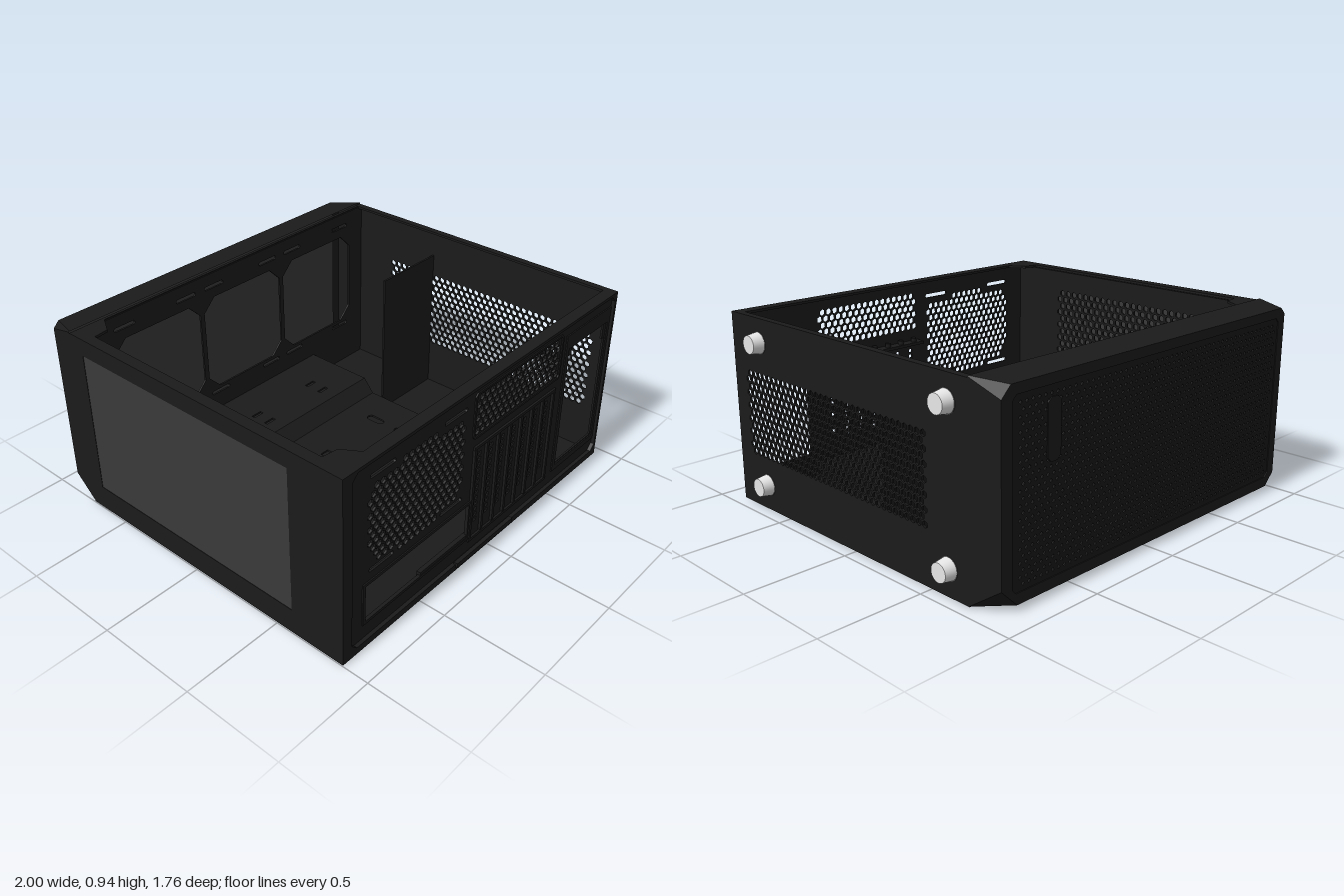
import * as THREE from 'three';

const mat = (name, color) => {
  const m = new THREE.MeshStandardMaterial({ color, side: THREE.DoubleSide });
  m.name = name;
  return m;
};

const pathOf = (pts, Type = THREE.Path) => new Type(pts.map(([x, y]) => new THREE.Vector2(x, y)));
const rectPts = (x0, x1, y0, y1) => [[x0, y0], [x1, y0], [x1, y1], [x0, y1]];

// Rectangle with cut corners, counter-clockwise from lower left; each corner may have its own cut
const octPts = (x0, x1, y0, y1, a, b = a, c = a, d = a) => [
  [x0 + a, y0], [x1 - b, y0], [x1, y0 + b], [x1, y1 - c],
  [x1 - c, y1], [x0 + d, y1], [x0, y1 - d], [x0, y0 + a],
];
const rectHole = (...r) => pathOf(rectPts(...r));
const octHole = (...r) => pathOf(octPts(...r));

// Staggered grid of small polygonal holes
function gridHoles(x0, x1, y0, y1, pitch, r, sides = 6, keep = () => true) {
  const holes = [];
  const rowStep = pitch * 0.866;
  for (let j = 0, y = y0 + r; y <= y1 - r; j++, y += rowStep) {
    for (let x = x0 + r + (j % 2 ? pitch / 2 : 0); x <= x1 - r; x += pitch) {
      if (!keep(x, y)) continue;
      const pts = [];
      for (let k = 0; k < sides; k++) {
        const a = (k / sides) * Math.PI * 2 + Math.PI / 2;
        pts.push([x + r * Math.cos(a), y + r * Math.sin(a)]);
      }
      holes.push(pathOf(pts));
    }
  }
  return holes;
}

export function createModel() {
  const model = new THREE.Group();
  model.name = 'computerCase';
  const body = mat('blackSteel', 0x1b1b1b);
  const filter = mat('filterGrey', 0x3a3a3a);
  const meshMat = mat('meshBlack', 0x171717);
  const rubber = mat('lightGreyFoot', 0xf0f0f0);
  const groove = mat('footGroove', 0x555555);

  const add = (name, geo, material = body) => {
    const m = new THREE.Mesh(geo, material);
    m.name = name;
    model.add(m);
  };
  const box = (name, x0, x1, y0, y1, z0, z1, material) =>
    add(name, new THREE.BoxGeometry(x1 - x0, y1 - y0, z1 - z0)
      .translate((x0 + x1) / 2, (y0 + y1) / 2, (z0 + z1) / 2), material);

  // Sheet metal: axis 'z' uses (x,y), 'x' uses (z,y), 'y' uses (x,z).
  // For x and y the sheet grows towards the negative side of 'at'.
  const sheet = (name, axis, at, outline, holes = [], depth = 0.01, material = body) => {
    const shape = pathOf(outline, THREE.Shape);
    shape.holes = holes;
    const g = new THREE.ExtrudeGeometry(shape, { depth, bevelEnabled: false });
    if (axis === 'x') g.rotateY(-Math.PI / 2).translate(at, 0, 0);
    else if (axis === 'y') g.rotateX(Math.PI / 2).translate(0, at, 0);
    else g.translate(0, 0, at);
    add(name, g, material);
  };

  // Closed side panel on which the case lies
  box('lowerSidePanel', -1, 0.945, 0.006, 0.02, -0.73, 0.87);
  box('lowerPanelSkin', -0.98, 0.93, 0, 0.006, -0.72, 0.86);

  // Foot-side wall with ventilation field
  sheet('footSideWall', 'x', 0.945, rectPts(-0.73, 0.87, 0.01, 0.935),
    gridHoles(-0.49, 0.785, 0.26, 0.68, 0.037, 0.0162), 0.01);

  // Opposite wall: outer frame, filter, and perforated inner layer
  sheet('filterWallFrame', 'x', -0.99, rectPts(-0.73, 0.87, 0.01, 0.935),
    [rectHole(-0.65, 0.59, 0.13, 0.85)]);
  box('dustFilter', -0.998, -0.99, 0.13, 0.85, -0.65, 0.59, filter);
  sheet('innerFanWall', 'x', -0.945, rectPts(-0.72, 0.85, 0.02, 0.92),
    gridHoles(-0.6, 0.56, 0.2, 0.84, 0.042, 0.017));

  // Rim around the open side, with corner gussets
  sheet('openSideRim', 'y', 0.935, rectPts(-1, 0.945, -0.73, 0.87), [
    pathOf([[-0.945, -0.62], [-0.87, -0.63], [-0.82, -0.715], [0.91, -0.715],
      [0.91, 0.81], [-0.82, 0.81], [-0.87, 0.73], [-0.945, 0.72]])], 0.012);

  // Rear wall: fan grille, vent, slot perforations, port and supply openings
  const fanGrid = gridHoles(-0.84, -0.2, 0.37, 0.85, 0.038, 0.0172, 6, (x, y) => {
    const dx = Math.abs(x + 0.52), dy = Math.abs(y - 0.61);
    return Math.hypot(dx, dy) < 0.335 && !(dy > 0.19 && dx > 0.13);
  });
  const fanSlots = [-0.75, -0.29].flatMap((x) => [0.38, 0.84].map((y) =>
    octHole(x - 0.075, x + 0.075, y - 0.01, y + 0.01, 0.006)));
  const slotX = Array.from({ length: 7 }, (_, i) => -0.1 + i * 0.087);
  const slotDots = slotX.flatMap((x) => Array.from({ length: 13 }, (_, j) =>
    rectHole(x - 0.011, x + 0.011, 0.19 + j * 0.03, 0.208 + j * 0.03)));
  sheet('rearWall', 'z', 0.842, rectPts(-0.97, 0.935, 0.02, 0.93), [
    ...fanGrid, ...fanSlots, ...slotDots,
    ...gridHoles(-0.15, 0.494, 0.672, 0.874, 0.038, 0.0175),
    rectHole(-0.85, -0.16, 0.13, 0.315),
    pathOf([[0.57, 0.14], [0.9, 0.14], [0.9, 0.7], [0.88, 0.7], [0.88, 0.78],
      [0.6, 0.78], [0.6, 0.74], [0.57, 0.74]]),
  ]);
  sheet('rearFrame', 'z', 0.84, rectPts(-1, 0.945, 0.01, 0.935),
    [octHole(-0.945, 0.93, 0.04, 0.92, 0.03)], 0.03);
  sheet('portFrame', 'z', 0.85, rectPts(-0.865, -0.145, 0.115, 0.33),
    [rectHole(-0.85, -0.16, 0.13, 0.315)], 0.008);
  box('portTab', -0.49, -0.15, 0.115, 0.145, 0.835, 0.856);
  sheet('supplyFrame', 'z', 0.85, rectPts(0.54, 0.925, 0.105, 0.86),
    [rectHole(0.565, 0.905, 0.135, 0.785)], 0.008);
  sheet('ventFrame', 'z', 0.85, octPts(-0.165, 0.508, 0.657, 0.888, 0.015),
    [octHole(-0.153, 0.496, 0.668, 0.878, 0.008)], 0.008);

  // Expansion slot ribs and their screws
  for (const x of [...slotX, slotX[6] + 0.087]) {
    box('slotRib', x - 0.051, x - 0.036, 0.12, 0.6, 0.848, 0.864);
  }
  box('slotTopRail', -0.15, 0.48, 0.6, 0.615, 0.79, 0.862);
  box('slotBottomRail', -0.15, 0.48, 0.1, 0.115, 0.83, 0.862);
  for (const x of slotX) {
    add('slotScrew', new THREE.CylinderGeometry(0.015, 0.015, 0.02, 10).translate(x, 0.625, 0.815));
  }
  box('rearTab', -0.25, 0.18, 0.025, 0.05, 0.86, 0.88);

  // Mounting tray, stepping up towards the mesh end
  sheet('mountingTray', 'y', 0.09, rectPts(-0.94, 0.53, -0.27, 0.84), [
    octHole(-0.63, -0.14, -0.05, 0.58, 0.02),
    ...[0.04, 0.47].map((z) => octHole(-0.91, -0.84, z - 0.1, z + 0.1, 0.015)),
    ...[-0.09, 0.09, 0.31, 0.53].map((z) => octHole(0.32, 0.36, z - 0.05, z + 0.05, 0.012)),
    ...[-0.08, 0.12, 0.36].map((z) => rectHole(-0.08, -0.03, z - 0.015, z + 0.015)),
  ]);
  sheet('raisedTray', 'y', 0.16, rectPts(-0.94, 0.53, -0.71, -0.33),
    [-0.52, -0.11, 0.29].flatMap((x) => [-0.51, -0.42].map((z) =>
      rectHole(x - 0.03, x + 0.03, z - 0.01, z + 0.01))));
  sheet('trayStep', 'x', 0.53, [[-0.33, 0.15], [-0.27, 0.08], [-0.27, 0.09], [-0.33, 0.16]], [], 1.47);
  box('traySideWall', 0.52, 0.53, 0.02, 0.09, -0.33, 0.84);
  box('raisedTraySideWall', 0.52, 0.53, 0.02, 0.16, -0.71, -0.33);
  for (const x of [-0.4, -0.31]) box('trayBrace', x - 0.025, x + 0.025, 0.065, 0.08, -0.05, 0.58);

  // Drive bay partition beside the foot-side wall
  box('drivePartition', 0.53, 0.935, 0.02, 0.79, -0.21, -0.2);

  // Internal fan plate with three large openings and mounting slots
  const fanX = [-0.53, 0.02, 0.57];
  sheet('fanPlate', 'z', -0.72, rectPts(-0.98, 0.935, 0.02, 0.93), [
    ...fanX.map((x) => octHole(x - 0.262, x + 0.262, 0.288, 0.8, 0.07)),
    ...fanX.flatMap((x) => [-0.19, 0.18].flatMap((d) => [0.26, 0.86].map((y) =>
      octHole(x + d - 0.06, x + d + 0.06, y - 0.01, y + 0.01, 0.006)))),
  ]);

  // Mesh-end cover: tapering shell with cut corners
  const wide = octPts(-1, 0.945, 0.008, 0.943, 0.003);
  const narrow = octPts(-0.98, 0.92, 0.03, 0.925, 0.06, 0.085, 0.05, 0.03);
  const pos = [];
  wide.forEach((a, i) => {
    const k = (i + 1) % 8;
    const A = [...a, -0.73], B = [...wide[k], -0.73], C = [...narrow[k], -0.88], D = [...narrow[i], -0.88];
    pos.push(...A, ...C, ...B, ...A, ...D, ...C);
  });
  const shell = new THREE.BufferGeometry();
  shell.setAttribute('position', new THREE.Float32BufferAttribute(pos, 3));
  shell.computeVertexNormals();
  add('coverShell', shell);

  const win = octPts(-0.93, 0.86, 0.08, 0.88, 0.02);
  sheet('coverFrame', 'z', -0.88, narrow, [pathOf(win)], 0.012);
  sheet('coverMesh', 'z', -0.876, win, gridHoles(-0.91, 0.84, 0.1, 0.86, 0.034, 0.009, 4), 0.003, meshMat);
  sheet('coverFilter', 'z', -0.862, win, [], 0.005, filter);
  sheet('controlStrip', 'z', -0.88, octPts(0.595, 0.67, 0.57, 0.83, 0.02), [], 0.009);

  // Tapered feet with a groove round the base
  for (const z of [0.655, -0.61]) {
    for (const y of [0.82, 0.13]) {
      add('footBase', new THREE.CylinderGeometry(0.053, 0.053, 0.008, 28)
        .rotateZ(-Math.PI / 2).translate(0.943, y, z), groove);
      add('foot', new THREE.CylinderGeometry(0.043, 0.051, 0.055, 28)
        .rotateZ(-Math.PI / 2).translate(0.9725, y, z), rubber);
    }
  }
  return model;
}
